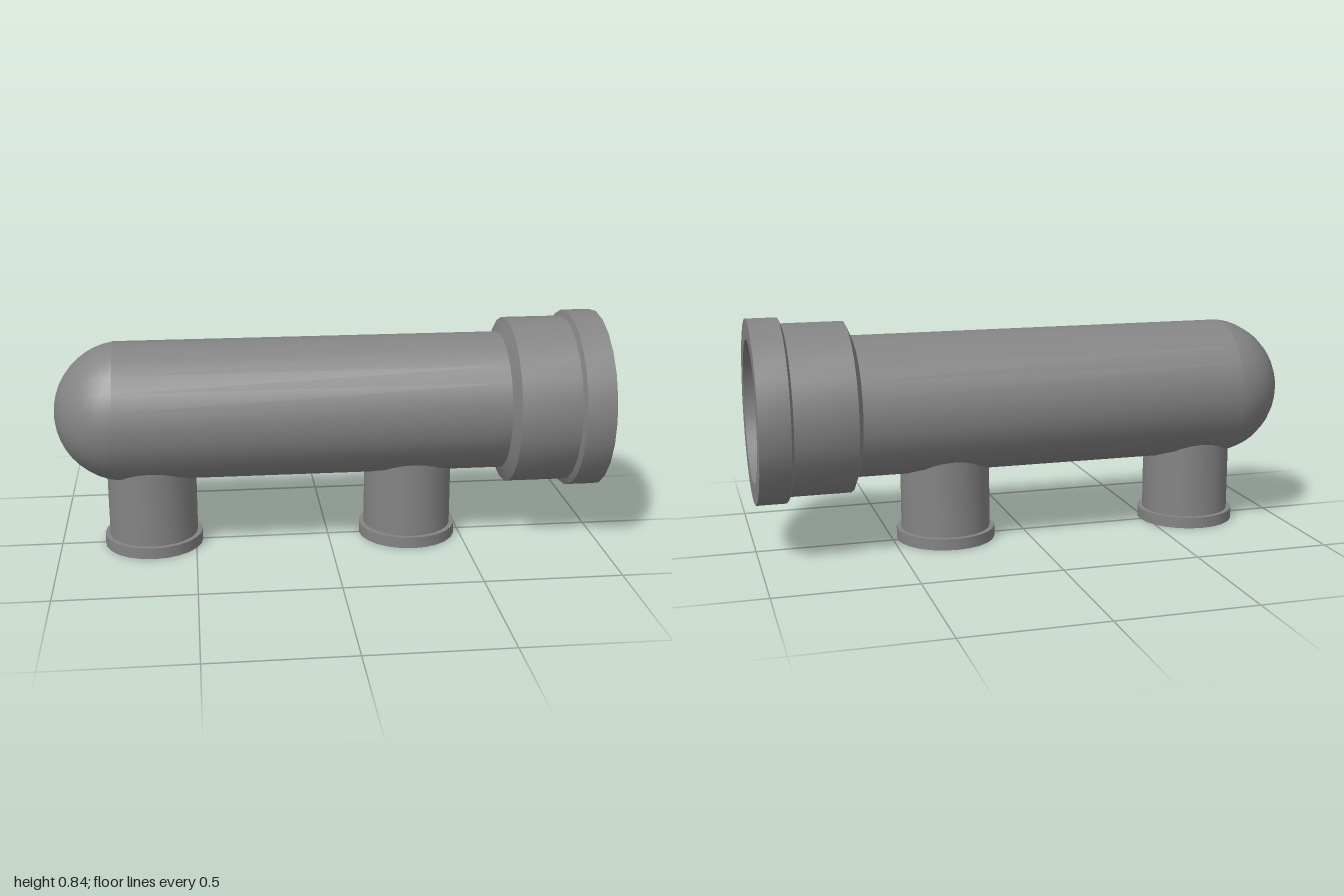
import * as THREE from 'three';
import { toCreasedNormals } from 'three/addons/utils/BufferGeometryUtils.js';

const SIDES = 24;
const AXIS_Y = 0.514;
const BODY_R = 0.255;
const FLOOR_X = 0.79;
const DOME_ARC = 1.43;

const material = new THREE.MeshStandardMaterial({ color: 0x848484 });
const openMaterial = new THREE.MeshStandardMaterial({ color: 0x848484, side: THREE.DoubleSide });

function addMesh(parent, name, geometry, mat = material) {
  const mesh = new THREE.Mesh(geometry, mat);
  mesh.name = name;
  parent.add(mesh);
  return mesh;
}

// Turned part from [radius, height] pairs, with sharp steps
function turned(profile) {
  const points = profile.map(([r, h]) => new THREE.Vector2(r, h));
  return toCreasedNormals(new THREE.LatheGeometry(points, SIDES), 0.5);
}

// Profile of a dome, from its tip at the given height down to its rim
function domeProfile(radius, tip, direction, arc, steps) {
  const points = [];
  for (let i = 0; i <= steps; i++) {
    const a = (i / steps) * arc;
    points.push([radius * Math.sin(a), tip + direction * radius * (1 - Math.cos(a))]);
  }
  return points;
}

// Slot outline: flat top and bottom, bulging ends
function slotOutline() {
  const slot = new THREE.Path();
  const cx = -0.007, cy = 0.021, r = 0.097, a = 0.97;
  slot.absarc(cx + 0.063, cy, r, -a, a);
  slot.absarc(cx - 0.063, cy, r, Math.PI - a, Math.PI + a);
  slot.closePath();
  return slot;
}

// Recess behind the slot: a trough closing along a horizontal line
function slotRecess() {
  const outline = slotOutline().getPoints(8);
  const rows = 8, n = outline.length;
  const positions = [], index = [];
  for (let j = 0; j <= rows; j++) {
    const a = (j / rows) * Math.PI / 2;
    for (const p of outline) {
      const taper = 1 - 0.1 * Math.sin(a);
      positions.push(p.x * taper, 0.021 + (p.y - 0.021) * Math.cos(a), -0.12 * Math.sin(a));
    }
  }
  for (let j = 0; j < rows; j++) {
    for (let i = 0; i < n; i++) {
      const k = (i + 1) % n;
      const a = j * n + i, b = j * n + k, c = a + n, d = b + n;
      index.push(a, c, b, b, c, d);
    }
  }
  const geometry = new THREE.BufferGeometry();
  geometry.setAttribute('position', new THREE.Float32BufferAttribute(positions, 3));
  geometry.setIndex(index);
  return toCreasedNormals(geometry, 0.9);
}

export function createModel() {
  const model = new THREE.Group();
  model.name = 'pipeManifold';

  // Main pipe lying along x, with a domed end
  const body = new THREE.Group();
  body.name = 'body';
  body.position.y = AXIS_Y;
  body.rotation.z = -Math.PI / 2;
  model.add(body);
  const dome = domeProfile(BODY_R / Math.sin(DOME_ARC), -1, 1, DOME_ARC, 10);
  addMesh(body, 'domedEnd', turned(dome));

  // Straight run, stepped collar and grooved socket
  addMesh(body, 'mainPipe', turned([
    dome[dome.length - 1], [BODY_R, 0.64], [0.308, 0.662], [0.308, 0.882], [0.33, 0.892], [0.33, 1],
    [0.257, 1], [0.257, 0.93], [0.283, 0.93], [0.283, 0.87], [0.257, 0.87], [0.257, FLOOR_X]
  ]));

  // Socket floor with slot
  const floor = new THREE.Shape();
  floor.absarc(0, 0, 0.257, 0, Math.PI * 2);
  floor.holes.push(slotOutline());
  const end = new THREE.Group();
  end.name = 'socketEnd';
  end.position.set(FLOOR_X, AXIS_Y, 0);
  end.rotation.y = Math.PI / 2;
  model.add(end);
  addMesh(end, 'socketFloor', new THREE.ShapeGeometry(floor, SIDES));
  addMesh(end, 'slotRecess', slotRecess(), openMaterial);

  // Two flanged branch pipes with round-ended recesses underneath
  const branch = turned([
    ...domeProfile(0.09, 0.09, -1, Math.PI / 2, 6),
    [0.182, 0], [0.182, 0.042], [0.164, 0.042], [0.164, 0.37]
  ]);
  for (const [name, x] of [['rearBranchPipe', -0.657], ['frontBranchPipe', 0.302]]) {
    addMesh(model, name, branch).position.x = x;
  }

  return model;
}
